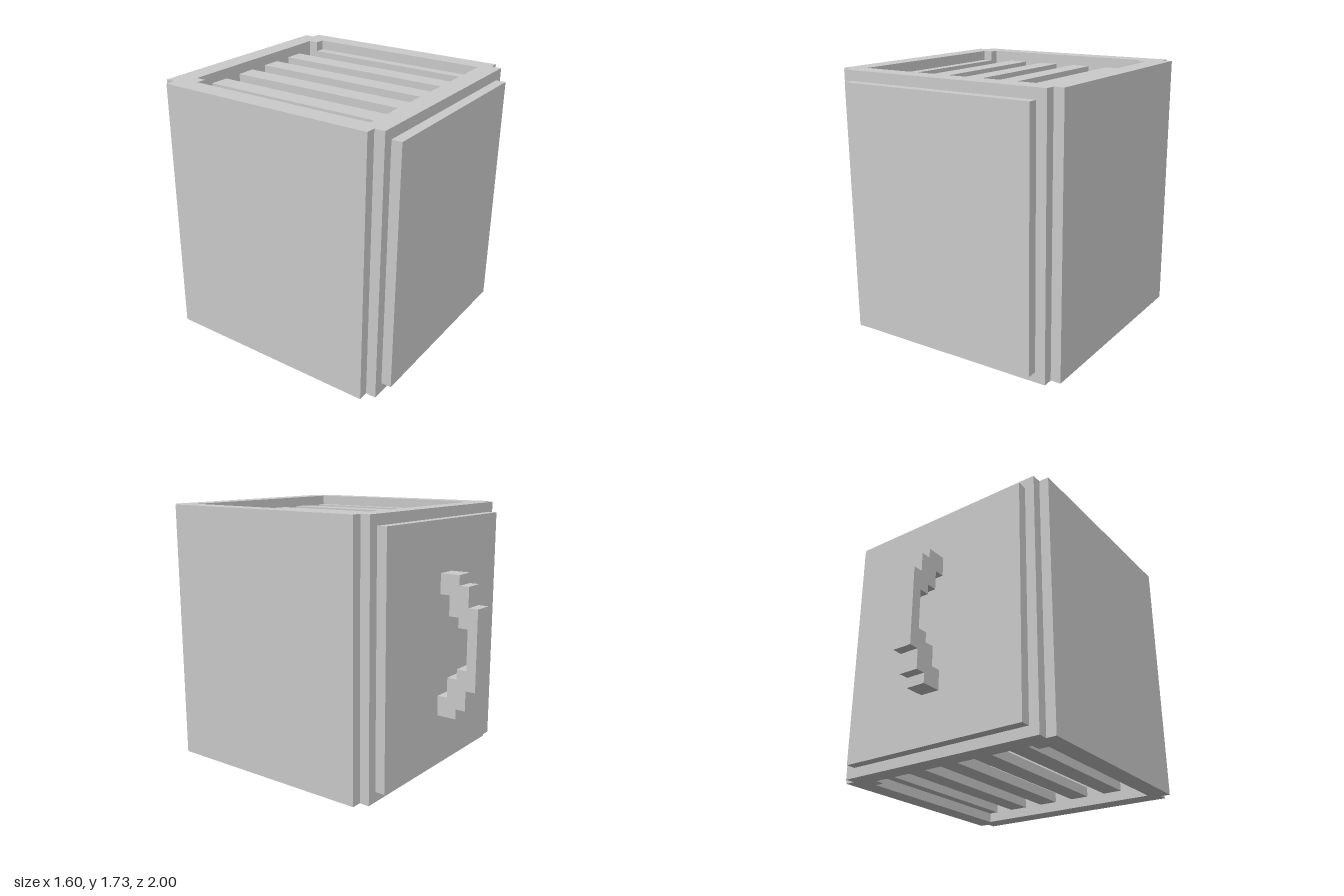
import * as THREE from 'three';

const U = 2 / 30; // one block of the grid
const material = new THREE.MeshStandardMaterial({ color: 0xcccccc, flatShading: true });
const points = (list) => list.map(([a, b]) => new THREE.Vector2(a * U, b * U));

function addMesh(parent, name, geometry) {
  const mesh = new THREE.Mesh(geometry, material);
  mesh.name = name;
  parent.add(mesh);
  return mesh;
}

// Box given by its lower and upper corners in blocks
function addBox(parent, name, [x0, y0, z0], [x1, y1, z1]) {
  const geometry = new THREE.BoxGeometry((x1 - x0) * U, (y1 - y0) * U, (z1 - z0) * U);
  addMesh(parent, name, geometry).position
    .set((x0 + x1) / 2 * U, (y0 + y1) / 2 * U, (z0 + z1) / 2 * U);
}

// Mirrors half a plan (x > 0) into a closed outline
const mirrorX = (half) => [...half, ...half.map(([x, z]) => [-x, z]).reverse()];

export function createModel() {
  const group = new THREE.Group();
  group.name = 'mug';

  // Hollow body: stepped plan with an open shaft
  const plan = new THREE.Shape(points(mirrorX([
    [10, -10], [11, -10], [11, -9], [12, -9], [12, 13], [11, 13], [11, 14], [10, 14],
  ])));
  plan.holes.push(new THREE.Path(points(mirrorX([[9, -8], [9, -7], [10, -7], [10, 12]]))));
  const body = new THREE.ExtrudeGeometry(plan, { depth: 26 * U, bevelEnabled: false });
  body.rotateX(Math.PI / 2).translate(0, 26 * U, 0);
  addMesh(group, 'body', body);

  // Raised panels on the front and back
  addBox(group, 'frontPanel', [-10, 1, 14], [10, 25, 15]);
  addBox(group, 'backPanel', [-10, 1, -11], [10, 25, -10]);

  // Slatted grilles, recessed one block at the top and bottom
  for (const [name, y] of [['topGrille', 24], ['bottomGrille', 1]]) {
    const grille = new THREE.Group();
    grille.name = name;
    for (const x of [-7, -3, 1, 5]) addBox(grille, 'slat', [x, y, -8], [x + 2, y + 1, 12]);
    for (const x of [-10, 9]) addBox(grille, 'edgeSlat', [x, y, -7], [x + 1, y + 1, 12]);
    group.add(grille);
  }

  // Stepped handle, profile in (z, y)
  const profile = new THREE.Shape(points([
    [-11, 6], [-13, 6], [-13, 7], [-14, 7], [-14, 9], [-15, 9], [-15, 17], [-14, 17],
    [-14, 19], [-13, 19], [-13, 20], [-11, 20], [-11, 18], [-12, 18], [-12, 16],
    [-13, 16], [-13, 15], [-14, 15], [-14, 11], [-13, 11], [-13, 10], [-12, 10],
    [-12, 8], [-11, 8],
  ]));
  const handle = new THREE.ExtrudeGeometry(profile, { depth: 2 * U, bevelEnabled: false });
  handle.rotateY(-Math.PI / 2).translate(U, 0, 0);
  addMesh(group, 'handle', handle);

  return group;
}
